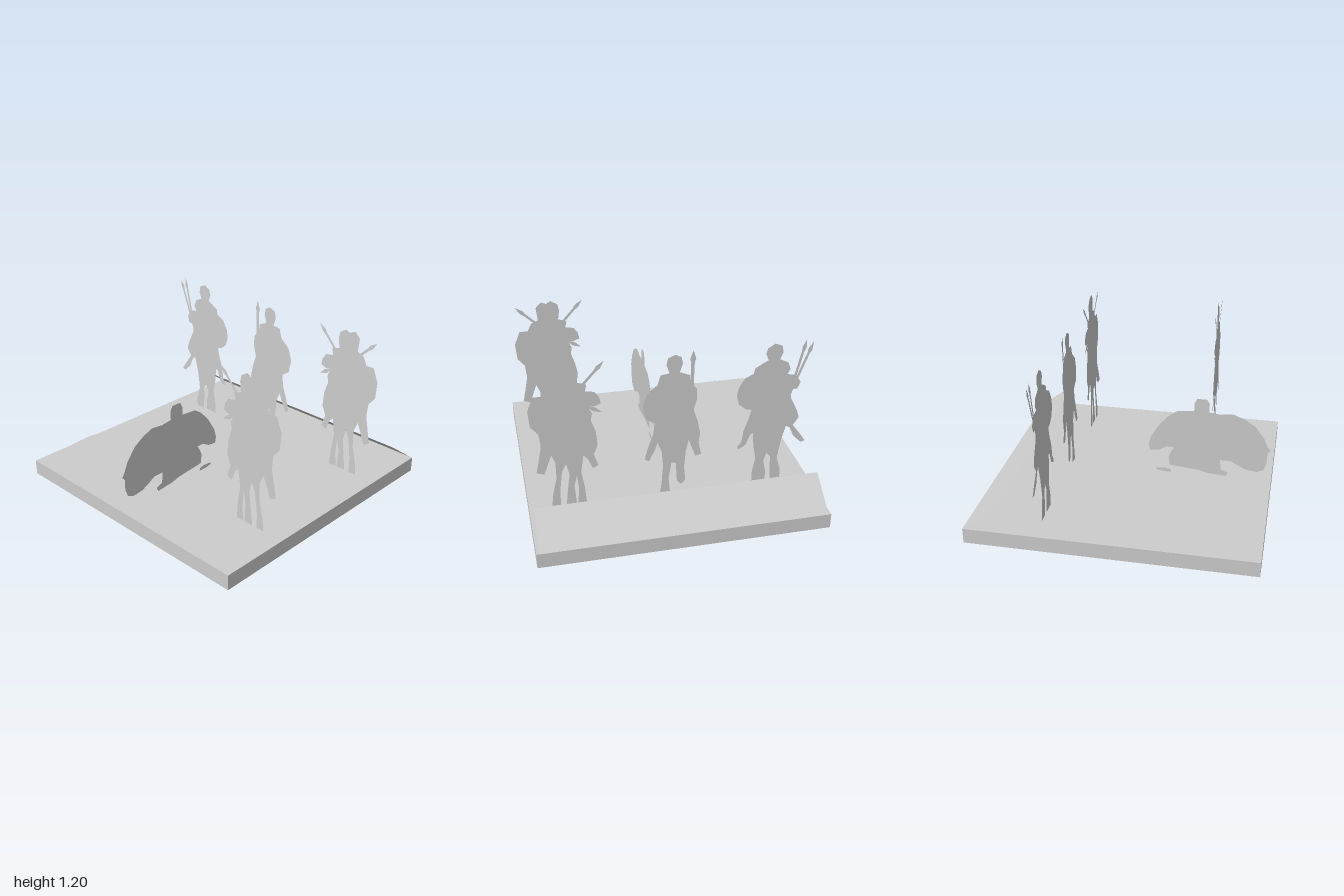
import * as THREE from 'three';

const plaster = new THREE.MeshStandardMaterial({ color: 0xcccccc });
plaster.name = 'plaster grey';
plaster.side = THREE.DoubleSide;

// Flat cut-out from an outline given in hundredths of a unit
function cutout(name, pts, flip = [1, 1]) {
  const v = [];
  for (let i = 0; i < pts.length; i += 2) {
    v.push(new THREE.Vector2(pts[i] * flip[0] / 100, pts[i + 1] * flip[1] / 100));
  }
  const mesh = new THREE.Mesh(new THREE.ShapeGeometry(new THREE.Shape(v)), plaster);
  mesh.name = name;
  return mesh;
}

// Thin shaft with a leaf-shaped tip, from (x1, y1) to the tip (x2, y2)
function spear(x1, y1, x2, y2, w = 0.9) {
  const len = Math.hypot(x2 - x1, y2 - y1);
  const dx = (x2 - x1) / len, dy = (y2 - y1) / len;
  const at = (along, side) => [x1 + dx * along - dy * side, y1 + dy * along + dx * side];
  return cutout('spear', [
    at(0, w), at(0, -w), at(len - 9, -w), at(len - 6, -w * 1.7), at(len, 0),
    at(len - 6, w * 1.7), at(len - 9, w),
  ].flat());
}

function assemble(name, z, ...parts) {
  const g = new THREE.Group();
  g.name = name;
  g.add(...parts);
  g.position.z = z;
  return g;
}

// Mounted figures: head, shield side, foot, horse legs, other foot, arm
const leftRider = [
  -70, 119, -65, 116, -64, 112, -66, 107, -62, 105, -57, 102, -56, 98, -50, 95, -46, 88, -45, 82,
  -47, 75, -52, 71, -56, 70, -54, 62, -51, 54, -50, 45, -47, 41, -48, 39, -53, 42, -56, 50,
  -58, 51, -59, 40, -61, 30, -59, 19, -59, 11, -69, 11, -69, 18, -67, 27, -69, 33, -72, 30,
  -72, 20, -73, 11, -80, 11, -80, 18, -77, 28, -79, 42, -82, 54, -85, 52, -88, 45, -94, 39,
  -97, 40, -93, 46, -87, 54, -91, 60, -89, 66, -84, 76, -83, 83, -88, 83, -90, 88, -86, 94,
  -80, 95, -82, 99, -80, 104, -74, 107, -76, 112, -75, 117,
];
const middleRider = [
  -2, 118, 3, 116, 4, 111, 2, 105, 8, 104, 10, 97, 17, 91, 20, 82, 18, 72, 12, 68,
  13, 59, 16, 51, 19, 40, 16, 38, 12, 46, 10, 52, 7, 45, 6, 33, 7, 19, 8, 11,
  1, 11, 2, 22, 0, 35, -3, 34, -4, 19, -7, 16, -10, 19, -9, 30, -10, 43, -12, 52,
  -14, 46, -17, 38, -21, 39, -19, 49, -20, 56, -18, 66, -15, 75, -17, 83, -17, 91, -14, 95,
  -12, 99, -12, 102, -5, 105, -7, 111, -6, 116,
];
const pairFront = [
  68, 120, 73, 117, 74, 111, 72, 106, 78, 104, 83, 97, 88, 90, 90, 82, 88, 73, 84, 68,
  86, 56, 90, 48, 93, 40, 89, 38, 86, 46, 83, 53, 80, 46, 80, 33, 83, 20, 84, 11,
  78, 11, 78, 22, 76, 38, 73, 44, 71, 35, 73, 20, 74, 11, 67, 11, 68, 25, 66, 34,
  65, 22, 66, 11, 60, 11, 61, 24, 63, 36, 61, 49, 58, 46, 55, 38, 51, 40, 54, 49,
  51, 56, 52, 67, 55, 76, 54, 81, 57, 87, 53, 86, 48, 88, 49, 93, 52, 97, 58, 98,
  57, 103, 63, 105, 62, 112, 63, 117,
];
const pairBack = [
  70, 118, 75, 120, 79, 116, 78, 106, 83, 104, 86, 98, 92, 98, 96, 88, 95, 76, 90, 70,
  89, 60, 91, 50, 93, 40, 88, 38, 80, 60, 72, 100,
];
// Side-on rider, as z and y
const sideRider = [
  51, 74, 44, 74, 42, 70, 42, 64, 30, 63, 24, 59, 17, 51, 11, 41, 9, 34, 10, 29,
  17, 30, 22, 33, 28, 33, 26, 30, 24, 25, 25, 18, 35, 17, 46, 16, 54, 14, 67, 13,
  68, 16, 63, 18, 62, 26, 70, 26, 75, 23, 81, 20, 89, 19, 94, 21, 96, 27, 96, 35,
  98, 37, 96, 40, 93, 47, 86, 56, 78, 61, 70, 64, 61, 63, 53, 64, 53, 71,
];
// Pieces lying on the base, as x and z
const fallenOuter = [
  -70, -2, -64, 0, -60, 5, -60, 11, -66, 14, -71, 19, -70, 40, -71, 61, -74, 64, -75, 75,
  -72, 91, -72, 98, -77, 96, -85, 87, -95, 77, -98, 67, -99, 51, -96, 35, -94, 21, -88, 8, -80, 0,
];
const fallenInner = [
  -42, 6, -35, 7, -30, 13, -30, 20, -32, 24, -32, 40, -29, 51, -30, 64, -29, 77, -26, 83,
  -26, 88, -28, 94, -33, 91, -37, 85, -37, 76, -42, 78, -53, 75, -60, 68, -61, 56, -59, 40,
  -64, 29, -61, 23, -50, 20, -49, 11,
];

export function createModel() {
  const model = new THREE.Group();
  model.name = 'riderDiorama';

  // Square base
  const base = new THREE.Mesh(new THREE.BoxGeometry(2, 0.11, 2), plaster);
  base.name = 'base';
  base.position.y = 0.055;
  model.add(base);

  // Sloping panel rising from the back edge
  const panel = new THREE.Mesh(new THREE.PlaneGeometry(1.96, Math.hypot(0.25, 0.18)), plaster);
  panel.name = 'slopingPanel';
  panel.rotation.x = Math.atan2(-0.25, -0.18);
  panel.position.set(0, 0.2, -0.875);
  model.add(panel);

  // Back row of riders
  model.add(assemble('leftRider', -0.5, cutout('riderBody', leftRider),
    spear(-82, 77, -97, 118), spear(-84, 86, -92, 120)));
  model.add(assemble('middleRider', -0.5, cutout('riderBody', middleRider),
    spear(-13, 77, -14, 120, 1.2)));

  // Two matching pairs of riders, one behind the other
  for (const z of [-0.5, 0.5]) {
    const back = cutout('rearRiderBody', pairBack);
    back.position.z = -0.01;
    model.add(assemble('riderPair', z, cutout('frontRiderBody', pairFront), back,
      spear(63, 99, 45, 119), spear(60, 88, 47, 81), spear(78, 102, 94, 117)));
  }

  // Side-on rider with a loose scrap beneath it
  const side = assemble('sideRider', 0, cutout('riderBody', sideRider, [-1, 1]),
    cutout('scrap', [26, 12, 26, 14, 22, 15, 15, 14.5, 15, 13, 20, 12], [-1, 1]));
  side.rotation.y = Math.PI / 2;
  model.add(side);

  // Fallen pieces lying flat
  const fallen = assemble('fallenPieces', 0, cutout('fallenOuter', fallenOuter, [1, -1]),
    cutout('fallenInner', fallenInner, [1, -1]),
    cutout('fallenScrap', [-25, 15, -23, 15, -23, 23, -24, 23], [1, -1]));
  fallen.rotation.x = -Math.PI / 2;
  fallen.position.y = 0.127;
  model.add(fallen);

  return model;
}
